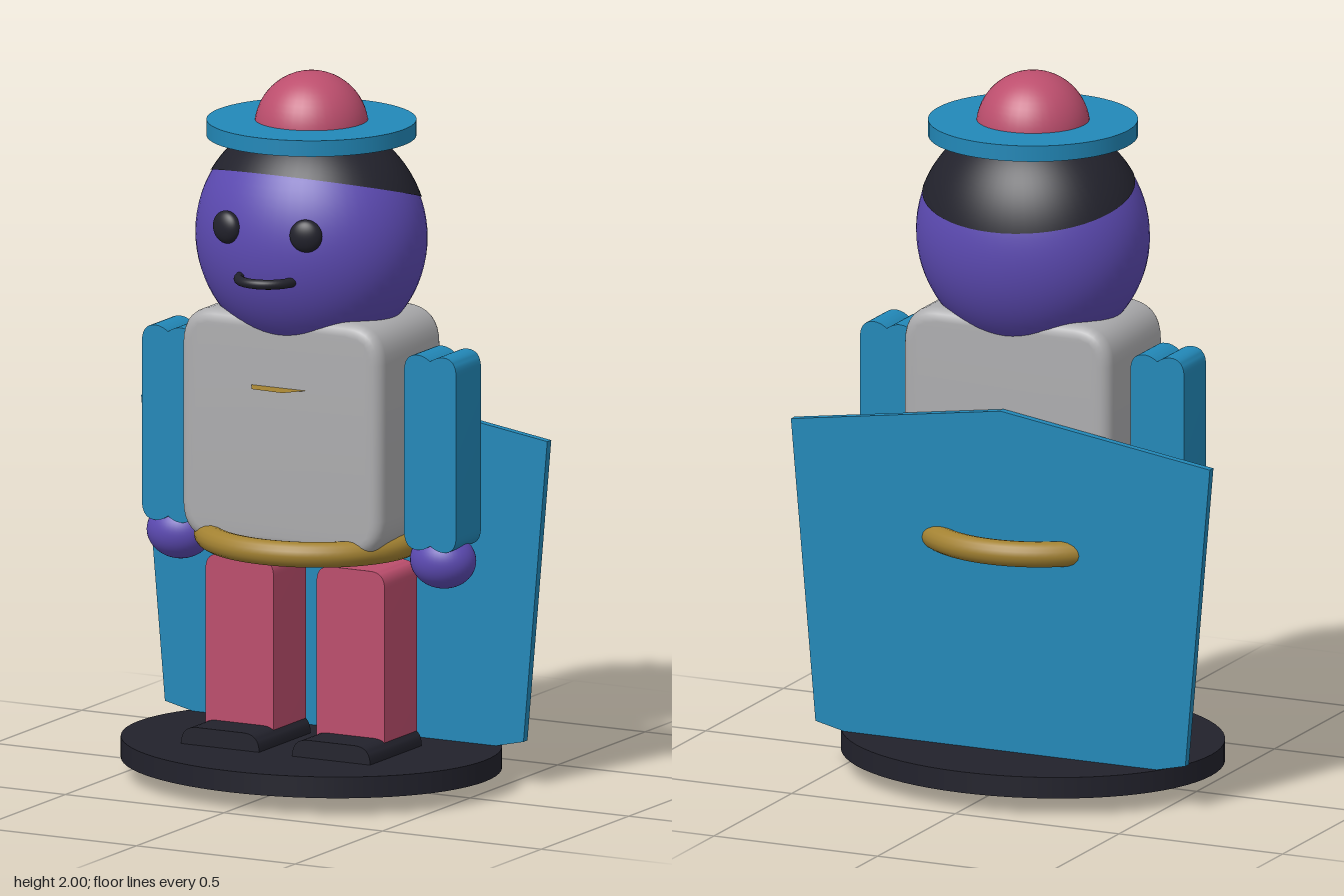
import * as THREE from 'three';
import { toCreasedNormals } from 'three/addons/utils/BufferGeometryUtils.js';

function material(name, color, side = THREE.FrontSide) {
  const m = new THREE.MeshStandardMaterial({ color, side });
  m.name = name;
  return m;
}

// Rectangle with rounded corners, from (x0, y0) to (x1, y1)
function roundedRect(x0, y0, x1, y1, rTop, rBottom = rTop) {
  const s = new THREE.Shape();
  s.moveTo(x0 + rBottom, y0);
  s.lineTo(x1 - rBottom, y0);
  s.quadraticCurveTo(x1, y0, x1, y0 + rBottom);
  s.lineTo(x1, y1 - rTop);
  s.quadraticCurveTo(x1, y1, x1 - rTop, y1);
  s.lineTo(x0 + rTop, y1);
  s.quadraticCurveTo(x0, y1, x0, y1 - rTop);
  s.lineTo(x0, y0 + rBottom);
  s.quadraticCurveTo(x0, y0, x0 + rBottom, y0);
  return s;
}

// Extrude a front outline between two depths, with an optional rounded edge
function slab(shape, zBack, zFront, bevel = 0) {
  const g = new THREE.ExtrudeGeometry(shape, {
    depth: zFront - zBack - 2 * bevel,
    curveSegments: 8,
    bevelEnabled: bevel > 0,
    bevelSize: bevel,
    bevelThickness: bevel,
    bevelOffset: -bevel,
    bevelSegments: 5,
  });
  g.translate(0, 0, zBack + bevel);
  return toCreasedNormals(g, 0.6);
}

export function createModel() {
  const model = new THREE.Group();
  model.name = 'figurine';

  const black = material('black', 0x22222c);
  const blue = material('blue', 0x2288b8);
  const red = material('red', 0xbc4e6d);
  const grey = material('grey', 0xacacae);
  const purple = material('purple', 0x5c4ab2);
  const gold = material('gold', 0xa38232, THREE.DoubleSide);

  function add(name, geometry, mat, x = 0, y = 0, z = 0) {
    const mesh = new THREE.Mesh(geometry, mat);
    mesh.name = name;
    mesh.position.set(x, y, z);
    model.add(mesh);
    return mesh;
  }

  function ball(name, mat, x, y, z, rx, ry, rz) {
    const mesh = add(name, new THREE.SphereGeometry(1, 40, 28), mat, x, y, z);
    mesh.scale.set(rx, ry, rz);
    return mesh;
  }

  // Oval stand
  const base = add('base', new THREE.CylinderGeometry(1, 1, 0.06, 72), black, 0, 0.08, 0);
  base.scale.set(0.545, 1, 0.46);

  // Flat cape with a peaked top and pointed hem
  const cape = new THREE.Shape([
    [-0.565, 0.13], [0, 0], [0.565, 0.13], [0.64, 0.985], [0, 1.08], [-0.64, 0.985],
  ].map(([x, y]) => new THREE.Vector2(x, y)));
  add('cape', slab(cape, -0.21, -0.187), blue);

  // Torso with softened edges
  add('torso', slab(roundedRect(-0.317, 0.68, 0.317, 1.34, 0.11), -0.183, 0.183, 0.035), grey);

  // Belt ring
  const belt = add('belt', new THREE.TorusGeometry(0.27, 0.036, 16, 72).rotateX(Math.PI / 2), gold, 0, 0.693, 0);
  belt.scale.x = 1.08;

  // Thin badge projecting from the chest
  const badge = new THREE.Shape([
    [-0.095, 0.17], [0.095, 0.17], [0.04, 0.24], [-0.06, 0.235],
  ].map(([x, z]) => new THREE.Vector2(x, -z)));
  add('chestBadge', new THREE.ShapeGeometry(badge).rotateX(-Math.PI / 2), gold, 0, 1.14, 0);

  // Sleeve outline with a shallow notch between two rounded lobes at each end
  const sleeve = new THREE.Shape();
  sleeve.moveTo(0, 0.715);
  sleeve.quadraticCurveTo(0.02, 0.7, 0.04, 0.7);
  sleeve.quadraticCurveTo(0.082, 0.7, 0.082, 0.75);
  sleeve.lineTo(0.082, 1.2);
  sleeve.quadraticCurveTo(0.082, 1.25, 0.04, 1.25);
  sleeve.quadraticCurveTo(0.02, 1.25, 0, 1.235);
  sleeve.quadraticCurveTo(-0.02, 1.25, -0.04, 1.25);
  sleeve.quadraticCurveTo(-0.082, 1.25, -0.082, 1.2);
  sleeve.lineTo(-0.082, 0.75);
  sleeve.quadraticCurveTo(-0.082, 0.7, -0.04, 0.7);
  sleeve.quadraticCurveTo(-0.02, 0.7, 0, 0.715);

  // Limbs and eyes, mirrored
  for (const [side, s] of [['left', 1], ['right', -1]]) {
    add(side + 'Arm', slab(sleeve, -0.071, 0.071), blue, s * 0.413);
    ball(side + 'Hand', purple, s * 0.415, 0.663, 0, 0.095, 0.079, 0.079);
    add(side + 'Leg', slab(roundedRect(-0.107, 0.13, 0.107, 0.63, 0.045, 0.02), -0.092, 0.094), red, s * 0.175);
    add(side + 'Shoe', slab(roundedRect(-0.123, 0.105, 0.123, 0.16, 0.05, 0.004), -0.09, 0.205), black, s * 0.175);
    ball(side + 'Eye', black, s * 0.125, 1.595, 0.258, 0.046, 0.046, 0.026).rotation.y = s * 0.25;
  }

  // Head, and hair as a cap tilted backwards
  const head = new THREE.Group();
  head.name = 'head';
  head.position.y = 1.54;
  head.scale.set(0.332, 0.332, 0.28);
  const skull = new THREE.Mesh(new THREE.SphereGeometry(1, 56, 40), purple);
  skull.name = 'face';
  const hairCap = new THREE.SphereGeometry(1.008, 56, 24, 0, Math.PI * 2, 0, 1.135).rotateX(-0.233);
  const hair = new THREE.Mesh(hairCap, black);
  hair.name = 'hair';
  head.add(skull, hair);
  model.add(head);

  // Mouth: half ring lying flat
  add('mouth', new THREE.TorusGeometry(0.081, 0.014, 12, 32, Math.PI).rotateX(Math.PI / 2), black, 0, 1.46, 0.248);

  // Hat brim and rounded crown
  add('hatBrim', new THREE.CylinderGeometry(0.29, 0.29, 0.045, 64), blue, 0, 1.842, 0);
  ball('hatCrown', red, 0, 1.842, 0, 0.158, 0.158, 0.158);

  return model;
}
